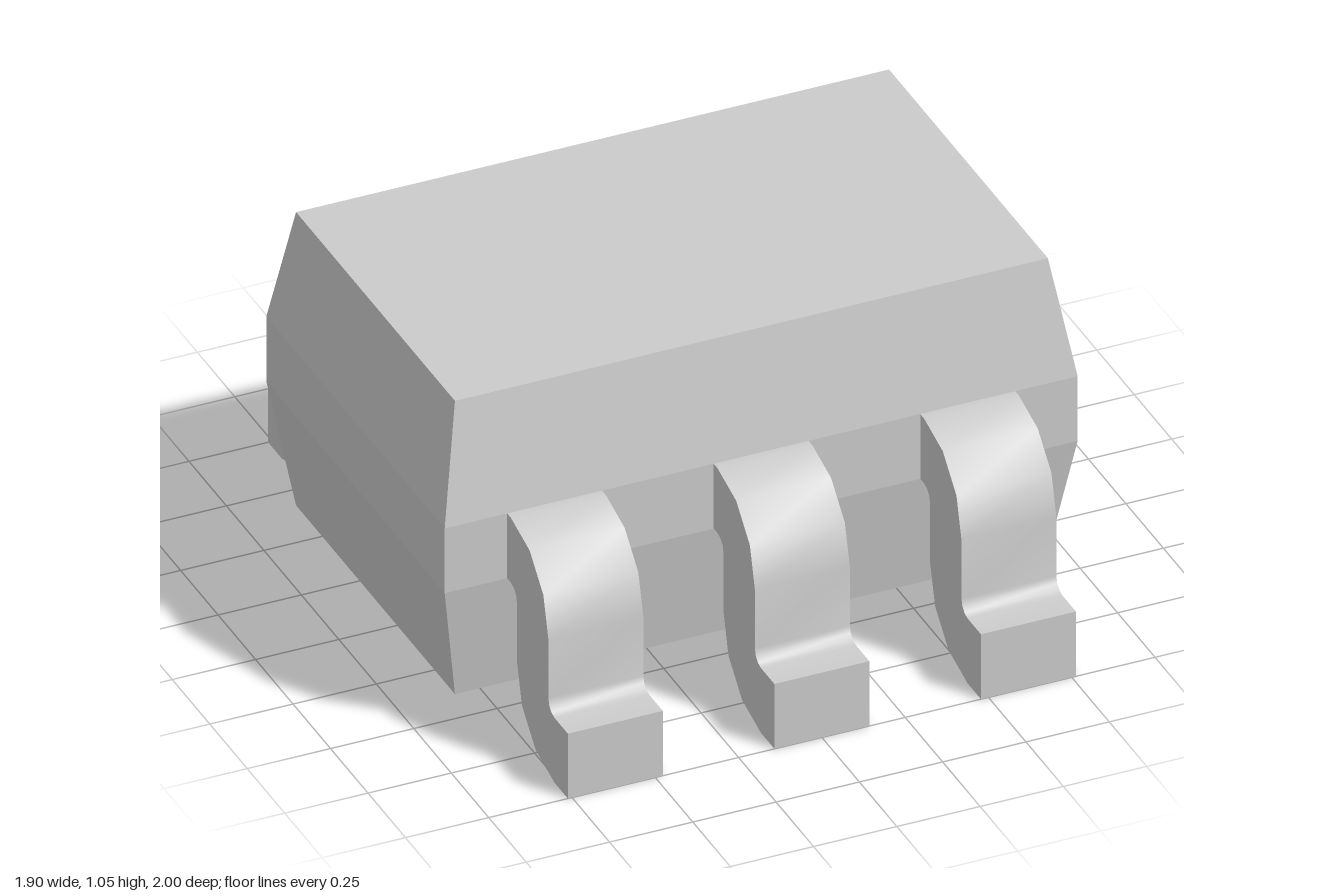
import * as THREE from 'three';
import { toCreasedNormals } from 'three/addons/utils/BufferGeometryUtils.js';

const material = new THREE.MeshStandardMaterial({ color: 0xcccccc });

// Chip body: stacked rectangular sections [y, half width, half depth], capped at both ends
function bodyGeometry() {
  const sections = [[0.1, 0.89, 0.53], [0.48, 0.95, 0.595], [0.69, 0.95, 0.595], [1.05, 0.89, 0.53]];
  const positions = [];
  const index = [];
  for (const [y, w, d] of sections) {
    positions.push(-w, y, d, w, y, d, w, y, -d, -w, y, -d);
  }
  const quad = (a, b, c, d) => index.push(a, b, c, a, c, d);
  for (let s = 0; s < sections.length - 1; s++) {
    for (let i = 0; i < 4; i++) {
      const a = s * 4 + i, b = s * 4 + (i + 1) % 4;
      quad(a, b, b + 4, a + 4);
    }
  }
  const top = (sections.length - 1) * 4;
  quad(top, top + 1, top + 2, top + 3);
  quad(3, 2, 1, 0);
  const geometry = new THREE.BufferGeometry();
  geometry.setAttribute('position', new THREE.Float32BufferAttribute(positions, 3));
  geometry.setIndex(index);
  const flat = geometry.toNonIndexed();
  flat.computeVertexNormals();
  return flat;
}

// Points of a bend in 30 degree steps
function bend(x, y, radius, fromDeg, toDeg) {
  return Array.from({ length: 4 }, (_, i) => {
    const a = THREE.MathUtils.degToRad(fromDeg + (toDeg - fromDeg) * i / 3);
    return new THREE.Vector2(x + radius * Math.cos(a), y + radius * Math.sin(a));
  });
}

// Gull-wing lead: S-shaped side profile extruded across its width
function leadGeometry() {
  const width = 0.285, outer = 0.25, inner = 0.04;
  const profile = [
    new THREE.Vector2(0.595, 0.48),
    ...bend(0.62, 0.44, inner, 90, 0),
    ...bend(0.91, 0.25, outer, 180, 270),
    new THREE.Vector2(1, 0),
    new THREE.Vector2(1, 0.21),
    ...bend(0.91, 0.25, inner, 270, 180),
    ...bend(0.62, 0.44, outer, 0, 90),
    new THREE.Vector2(0.595, 0.69),
  ];
  const geometry = new THREE.ExtrudeGeometry(new THREE.Shape(profile), { depth: width, bevelEnabled: false });
  geometry.translate(0, 0, -width / 2);
  geometry.rotateY(-Math.PI / 2);
  return toCreasedNormals(geometry, 0.6);
}

export function createModel() {
  const model = new THREE.Group();
  model.name = 'chipPackage';

  const body = new THREE.Mesh(bodyGeometry(), material);
  body.name = 'body';
  model.add(body);

  // Three leads along the front and three along the back
  const lead = leadGeometry();
  for (const side of ['front', 'back']) {
    const row = new THREE.Group();
    row.name = `${side}Leads`;
    [-0.62, 0, 0.62].forEach((x, i) => {
      const mesh = new THREE.Mesh(lead, material);
      mesh.name = `${side}Lead${i + 1}`;
      mesh.position.x = x;
      row.add(mesh);
    });
    if (side === 'back') row.rotation.y = Math.PI;
    model.add(row);
  }
  return model;
}
